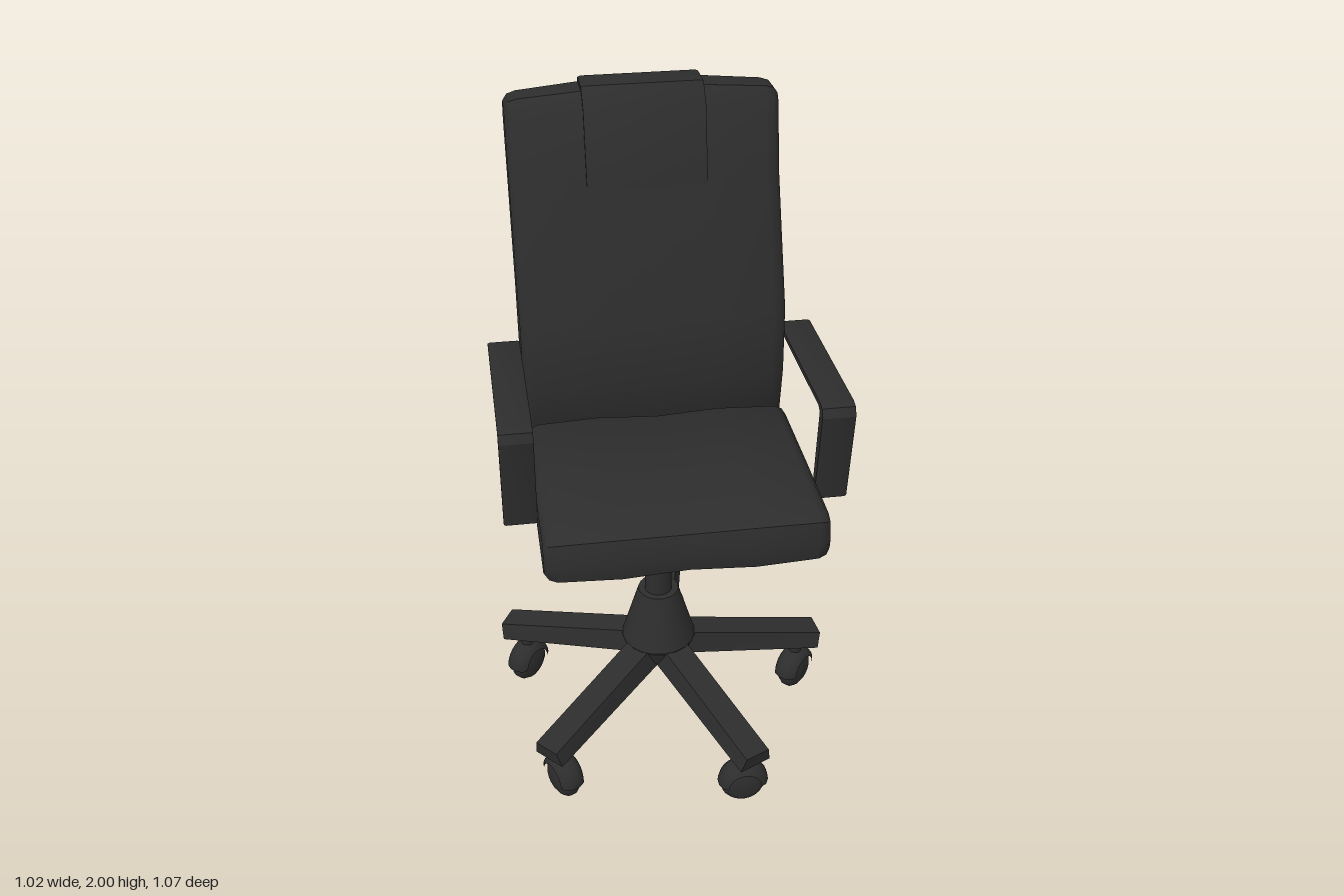
import * as THREE from 'three';
import { toCreasedNormals } from 'three/addons/utils/BufferGeometryUtils.js';

const black = new THREE.MeshStandardMaterial({ color: 0x2d2d2d, side: THREE.DoubleSide });
black.name = 'charcoal black';

function add(parent, name, geometry, x = 0, y = 0, z = 0) {
  const mesh = new THREE.Mesh(geometry, black);
  mesh.name = name;
  mesh.position.set(x, y, z);
  parent.add(mesh);
  return mesh;
}

// Side profile of [-z, y] points, counter-clockwise, skinned across x.
// Each station is [x, inset]; the inset shrinks the profile to round the sides.
function loft(profile, stations, crease = 0.75) {
  const pts = profile.map(([r, y]) => new THREE.Vector2(r, y));
  const n = pts.length;
  const outward = (a, b) => new THREE.Vector2(b.y - a.y, a.x - b.x).normalize();
  const normals = pts.map((p, i) =>
    outward(pts[(i + n - 1) % n], p).add(outward(p, pts[(i + 1) % n])).normalize());
  const pos = [], index = [];
  for (const [x, inset] of stations)
    pts.forEach((p, i) => pos.push(x, p.y - normals[i].y * inset, -(p.x - normals[i].x * inset)));
  const last = (stations.length - 1) * n;
  for (let s = 0; s < last; s += n)
    for (let j = 0; j < n; j++) {
      const k = (j + 1) % n;
      index.push(s + j, s + k, s + n + k, s + j, s + n + k, s + n + j);
    }
  for (const [a, b, c] of THREE.ShapeUtils.triangulateShape(pts, []))
    index.push(last + a, last + b, last + c, a, c, b);
  const g = new THREE.BufferGeometry();
  g.setAttribute('position', new THREE.Float32BufferAttribute(pos, 3));
  g.setIndex(index);
  return toCreasedNormals(g, crease);
}

// Mirrors half of a station list to both sides of x = 0
const mirrored = (half, middle = []) =>
  [...half.map(([x, i]) => [-x, i]), ...middle, ...half.slice().reverse()];

function makeLeg() {
  // Tapered, sloping bar running outwards along x
  const g = new THREE.BoxGeometry(1, 1, 1);
  const p = g.attributes.position;
  for (let i = 0; i < p.count; i++) {
    const outer = p.getX(i) > 0, top = p.getY(i) > 0;
    const y = outer ? (top ? 0.232 : 0.18) : (top ? 0.35 : 0.275);
    p.setXYZ(i, outer ? (top ? 0.535 : 0.525) : 0.03, y, p.getZ(i) * (top ? 0.08 : 0.105));
  }
  g.computeVertexNormals();
  return g;
}

function makeCaster() {
  const caster = new THREE.Group();
  caster.name = 'caster';
  const v = (r, y) => new THREE.Vector2(r, y);
  // Wheel with rounded shoulders, axle along x
  const wheel = new THREE.LatheGeometry([v(0, -0.036), v(0.04, -0.034), v(0.058, -0.024),
    v(0.068, -0.01), v(0.068, 0.01), v(0.058, 0.024), v(0.04, 0.034), v(0, 0.036)], 20);
  add(caster, 'wheel', wheel, 0, 0.07, 0).rotation.z = Math.PI / 2;
  // Half-round hood over the wheel
  const hood = new THREE.LatheGeometry([v(0.05, -0.04), v(0.066, -0.032), v(0.076, -0.012),
    v(0.076, 0.012), v(0.066, 0.032), v(0.05, 0.04)], 14, 0, Math.PI);
  add(caster, 'hood', hood, 0, 0.072, 0).rotation.z = Math.PI / 2;
  add(caster, 'stem', new THREE.CylinderGeometry(0.02, 0.02, 0.07, 10), 0, 0.17, 0);
  return caster;
}

function makeBase() {
  const base = new THREE.Group();
  base.name = 'base';
  base.position.x = -0.033;
  add(base, 'gasColumn', new THREE.CylinderGeometry(0.042, 0.042, 0.36, 20), 0, 0.66, 0);
  add(base, 'hubCone', new THREE.CylinderGeometry(0.062, 0.115, 0.18, 20), 0, 0.42, 0);
  add(base, 'hubFoot', new THREE.CylinderGeometry(0.115, 0.09, 0.065, 20), 0, 0.3, 0);
  // Each caster has swivelled to its own heading
  const headings = [45, 90, -25, 45, -35];
  headings.forEach((heading, i) => {
    const angle = THREE.MathUtils.degToRad(-6 + 72 * i);
    add(base, 'leg', makeLeg()).rotation.y = -angle;
    const caster = makeCaster();
    caster.position.set(Math.cos(angle) * 0.466, 0, Math.sin(angle) * 0.466);
    caster.rotation.y = -THREE.MathUtils.degToRad(heading);
    base.add(caster);
  });
  return base;
}

function makeUpper() {
  const upper = new THREE.Group();
  upper.name = 'swivelSeat';
  upper.position.x = -0.022;
  upper.rotation.y = -0.02;

  const seat = [[-0.535, 1.03], [-0.525, 0.975], [-0.47, 0.935], [0.11, 0.93], [0.135, 0.96],
    [0.13, 1.06], [0.09, 1.09], [-0.2, 1.108], [-0.47, 1.118], [-0.515, 1.095]];
  add(upper, 'seatCushion', loft(seat,
    mirrored([[0.384, 0.035], [0.372, 0.016], [0.35, 0.007], [0.18, 0]], [[0, 0.009]])));

  const back = [[0.19, 0.9], [0.285, 0.92], [0.315, 1.18], [0.34, 1.445], [0.482, 1.88],
    [0.474, 1.93], [0.445, 1.98], [0.345, 1.988], [0.303, 1.945], [0.26, 1.76],
    [0.1, 1.39], [0.088, 1.18], [0.115, 1.01]];
  add(upper, 'backrest', loft(back,
    mirrored([[0.383, 0.045], [0.37, 0.026], [0.345, 0.018], [0.18, 0.003]], [[0, 0]])));

  // Head pad wrapped over the top of the backrest
  const pad = [[0.28, 1.735], [0.34, 1.93], [0.45, 1.93], [0.462, 1.965], [0.442, 1.995],
    [0.345, 2.0], [0.296, 1.95], [0.248, 1.735]];
  add(upper, 'headPad', loft(pad, mirrored([[0.17, 0.003], [0.162, 0]])));

  // Tilt mechanism under the seat
  const tilt = [[-0.2, 0.82], [0.1, 0.82], [0.14, 0.935], [-0.285, 0.935]];
  add(upper, 'tiltMechanism', loft(tilt, mirrored([[0.145, 0]]), 0.3));

  // Flat strip armrests, bent down to the seat at the front
  const arm = [[-0.275, 1.02], [-0.302, 1.305], [-0.285, 1.313], [0.215, 1.277], [0.215, 1.296],
    [-0.305, 1.336], [-0.33, 1.33], [-0.342, 1.305], [-0.305, 1.02]];
  for (const side of [1, -1])
    add(upper, side > 0 ? 'leftArmrest' : 'rightArmrest',
      loft(arm, mirrored([[0.046, 0.003], [0.04, 0]]), 0.5), side * 0.43, 0, 0);
  return upper;
}

export function createModel() {
  const chair = new THREE.Group();
  chair.name = 'officeChair';
  chair.add(makeBase(), makeUpper());
  return chair;
}
